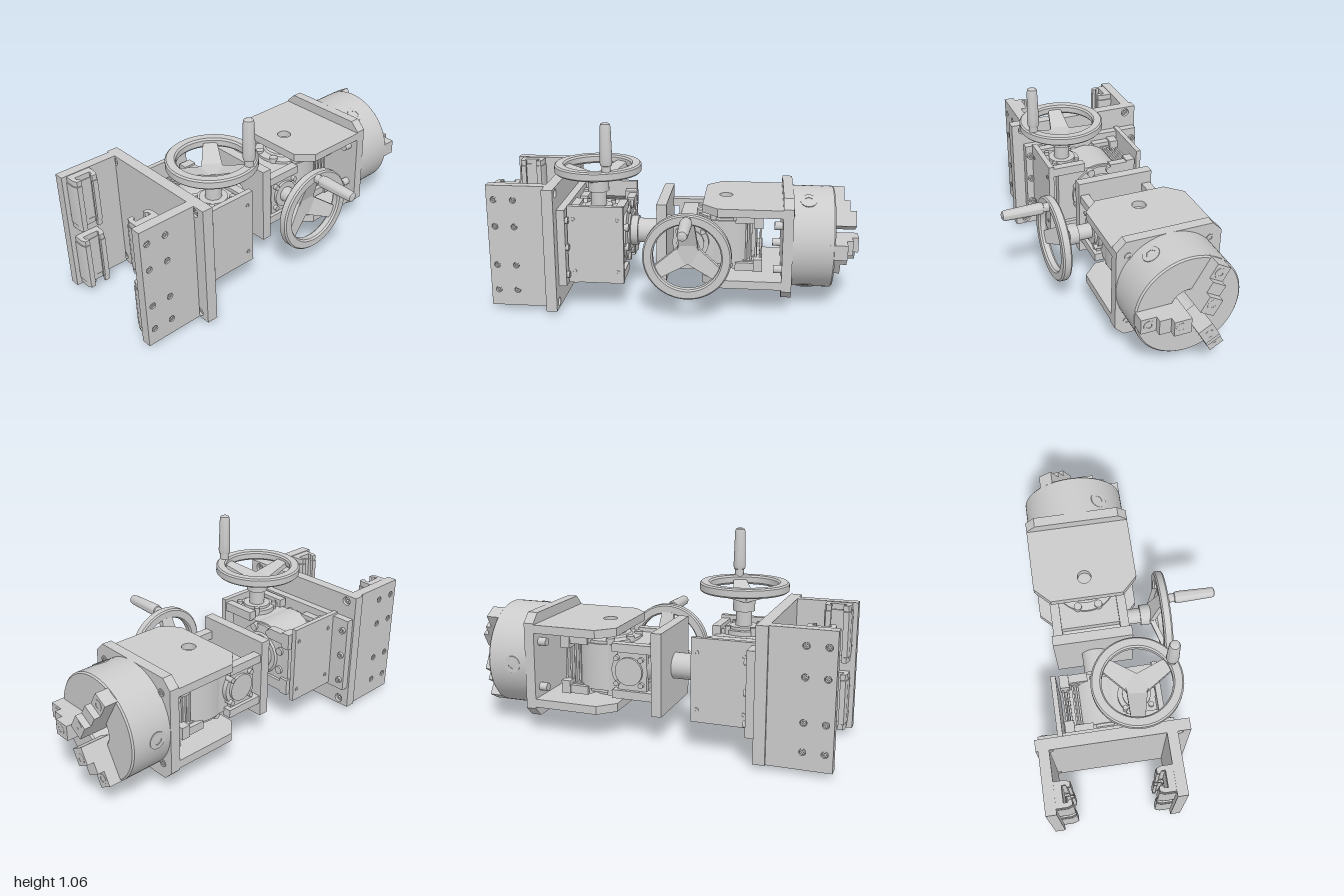
import * as THREE from 'three';
import { toCreasedNormals } from 'three/addons/utils/BufferGeometryUtils.js';

const mat = new THREE.MeshStandardMaterial({ color: 0xcccccc });

function add(parent, name, geo, x = 0, y = 0, z = 0) {
  const m = new THREE.Mesh(geo, mat);
  m.name = name;
  m.position.set(x, y, z);
  parent.add(m);
  return m;
}
// box given by its limits
function box(parent, name, x0, x1, y0, y1, z0, z1) {
  return add(parent, name, new THREE.BoxGeometry(x1 - x0, y1 - y0, z1 - z0),
    (x0 + x1) / 2, (y0 + y1) / 2, (z0 + z1) / 2);
}
// turns a geometry built along y (or a plate facing z) to another axis
const yTo = (g, axis) => axis === 'x' ? g.rotateZ(-Math.PI / 2) : axis === 'z' ? g.rotateX(Math.PI / 2) : g;
const cyl = (r, h, axis = 'y', r2 = r) => yTo(new THREE.CylinderGeometry(r2, r, h, 40), axis);
const lathe = (pts, axis = 'y') => yTo(toCreasedNormals(
  new THREE.LatheGeometry(pts.map(p => new THREE.Vector2(...p)), 64), 0.5), axis);
const poly = pts => new THREE.Shape(pts.map(p => new THREE.Vector2(...p)));
function extrude(shape, depth) {
  const g = new THREE.ExtrudeGeometry(shape, { depth, bevelEnabled: false, curveSegments: 16 });
  return toCreasedNormals(g.translate(0, 0, -depth / 2), 0.5);
}
// flat plate facing z with cut corners c and round holes [x, y, r]
function plate(w, h, t, c = 0, holes = []) {
  const a = w / 2, b = h / 2;
  const s = poly(c ? [[-a + c, -b], [a - c, -b], [a, -b + c], [a, b - c], [a - c, b], [-a + c, b], [-a, b - c], [-a, -b + c]]
    : [[-a, -b], [a, -b], [a, b], [-a, b]]);
  for (const [x, y, r] of holes) s.holes.push(new THREE.Path().absarc(x, y, r, 0, Math.PI * 2, true));
  return extrude(s, t);
}
// socket head screw, facing z
function screw(r, t) {
  const s = new THREE.Shape().absarc(0, 0, r, 0, Math.PI * 2);
  const hex = Array.from({ length: 6 }, (_, i) => new THREE.Vector2(
    Math.cos(-i * Math.PI / 3) * r * 0.55, Math.sin(-i * Math.PI / 3) * r * 0.55));
  s.holes.push(new THREE.Path(hex));
  return extrude(s, t);
}

// dished three-spoke wheel on the z axis with a revolving grip towards +y
function handwheel() {
  const g = new THREE.Group();
  g.name = 'handwheel';
  add(g, 'rim', lathe([[0.18, 0.4], [0.188, 0.39], [0.227, 0.39], [0.235, 0.398], [0.235, 0.432],
    [0.227, 0.44], [0.188, 0.44], [0.18, 0.43], [0.18, 0.4]], 'z'));
  add(g, 'hub', lathe([[0, 0.285], [0.058, 0.285], [0.058, 0.345], [0.065, 0.355], [0.06, 0.37], [0, 0.37]], 'z'));
  for (let i = 0; i < 3; i++) {
    const geo = extrude(poly([[-0.055, 0.02], [0.055, 0.02], [0.035, 0.19], [-0.035, 0.19]]), 0.03);
    const p = geo.attributes.position;
    for (let k = 0; k < p.count; k++) p.setZ(k, p.getZ(k) + 0.34 + p.getY(k) * 0.34);
    geo.computeVertexNormals();
    add(g, 'spoke', geo).rotation.z = i * Math.PI * 2 / 3;
  }
  add(g, 'grip', lathe([[0, 0.43], [0.024, 0.43], [0.024, 0.47], [0.03, 0.473], [0.033, 0.49], [0.032, 0.53],
    [0.028, 0.675], [0.024, 0.69], [0.014, 0.695], [0, 0.695]], 'z'), 0, 0.206, 0);
  return g;
}

// worm gearbox: output axis along y, worm along z at x = -0.185
function wormGearbox(wheelAngle) {
  const g = new THREE.Group();
  g.name = 'wormGearbox';
  add(g, 'gearDrum', cyl(0.175, 0.25));
  add(g, 'outputHub', cyl(0.085, 0.38));
  box(g, 'housing', -0.25, 0, -0.125, 0.125, -0.165, 0.165);
  add(g, 'wormTube', cyl(0.1, 0.38, 'z'), -0.185, 0, 0);
  add(g, 'wormEndCap', cyl(0.075, 0.41, 'z'), -0.185, 0, 0);
  add(g, 'inputShaft', cyl(0.043, 0.3, 'z'), -0.185, 0, 0.17);
  for (const s of [-1, 1]) {
    add(g, 'sideCover', lathe([[0, 0], [0.165, 0], [0.165, 0.02], [0.12, 0.025], [0.11, 0.035], [0, 0.035]]),
      0, s * 0.12, 0).rotation.x = s < 0 ? Math.PI : 0;
    for (let i = 0; i < 8; i++) {
      const a = (i + 0.5) * Math.PI / 4;
      add(g, 'coverBolt', cyl(0.022, 0.04), Math.cos(a) * 0.15, s * 0.135, Math.sin(a) * 0.15);
    }
    for (const t of [-1, 1]) {
      // mounting feet at both ends of the housing
      add(g, 'foot', new THREE.BoxGeometry(0.15, 0.045, 0.06), 0.135, s * 0.137, t * 0.145);
      add(g, 'footPad', new THREE.BoxGeometry(0.05, 0.07, 0.09), 0.185, s * 0.125, t * 0.14);
      add(g, 'wormFoot', new THREE.BoxGeometry(0.22, 0.045, 0.05), -0.205, s * 0.125, t * 0.185);
      add(g, 'flangeBolt', cyl(0.014, 0.42, 'z'), -0.185 + t * 0.068, s * 0.068, 0);
    }
    add(g, 'footWeb', new THREE.BoxGeometry(0.16, 0.25, 0.03), -0.2, 0, s * 0.175);
    add(g, 'footBar', new THREE.BoxGeometry(0.1, 0.035, 0.3), 0.15, s * 0.125, 0);
  }
  for (let i = 0; i < 4; i++) add(g, 'rib', new THREE.BoxGeometry(0.01, 0.23, 0.28), 0.12 + i * 0.026, 0, 0);
  box(g, 'ribCore', 0, 0.18, -0.1, 0.1, -0.11, 0.11);
  const w = handwheel();
  w.position.x = -0.185;
  w.rotation.z = wheelAngle;
  g.add(w);
  return g;
}

// three-jaw chuck, face at y = 0 and axis along y
function chuck() {
  const g = new THREE.Group();
  g.name = 'chuck';
  add(g, 'body', lathe([[0, -0.23], [0.283, -0.23], [0.283, -0.008], [0.275, 0], [0.1, 0], [0.09, -0.01], [0.09, -0.2], [0, -0.2]]));
  for (let i = 0; i < 3; i++) {
    const j = new THREE.Group();
    j.name = 'jaw';
    j.rotation.y = i * Math.PI * 2 / 3;
    add(j, 'steppedJaw', extrude(poly([[0.05, -0.03], [0.28, -0.03], [0.28, 0.065], [0.2, 0.065], [0.2, 0.1],
      [0.14, 0.1], [0.14, 0.135], [0.05, 0.135]]), 0.082).rotateY(-Math.PI / 2));
    for (const [r, h] of [[0.238, 0.064], [0.105, 0.133]])
      add(j, 'jawScrew', screw(0.028, 0.006).rotateX(-Math.PI / 2), 0, h, r);
    add(j, 'keySocket', screw(0.045, 0.02), 0, -0.145, -0.275);
    g.add(j);
  }
  return g;
}

export function createModel() {
  const root = new THREE.Group();
  const Y = 0.368, Z = -0.165;

  // carriage: cross plate and two side plates carrying the slide blocks
  const carriage = new THREE.Group();
  carriage.name = 'carriage';
  root.add(carriage);
  const corners = [-1, 1].flatMap(a => [-1, 1].map(b => [a * 0.33, b * 0.308, 0.024]));
  add(carriage, 'crossPlate', plate(0.786, 0.685, 0.06, 0, corners).rotateY(Math.PI / 2), -0.65, Y, -0.137);
  for (const [x, y] of corners)
    add(carriage, 'crossScrew', screw(0.018, 0.04).rotateY(Math.PI / 2), -0.65, Y + y, -0.137 - x);
  const rows = [0.63, 0.48, 0.26, 0.115], cols = [-0.96, -0.855];
  for (const s of [-1, 1]) {
    const z = Z + s * 0.325, holes = [];
    for (const y of rows) for (const x of cols) {
      holes.push([x + 0.84, y - Y, 0.017]);
      add(carriage, 'sideScrew', screw(0.014, 0.045), x, y, z);
    }
    add(carriage, 'sidePlate', plate(0.32, 0.685, 0.055, 0, holes), -0.84, Y, z);
    // slide block with undercut channel opening inwards
    const profile = [[-0.07, 0], [0.07, 0], [0.07, 0.06], [0.06, 0.085], [0.032, 0.085], [0.032, 0.068], [0.045, 0.06],
      [0.045, 0.04], [-0.045, 0.04], [-0.045, 0.06], [-0.032, 0.068], [-0.032, 0.085], [-0.06, 0.085], [-0.07, 0.06]];
    for (const y of [0.188, 0.555]) {
      const block = new THREE.Group();
      block.name = 'slideBlock';
      block.position.set(-0.905, y, Z + s * 0.298);
      block.rotation.x = s * Math.PI / 2;
      carriage.add(block);
      const geo = extrude(poly(profile.map(([a, b]) => [a, -b])).clone(), 0.24);
      // channel faces the centre of the carriage
      geo.rotateX(-Math.PI / 2).rotateX(Math.PI / 2);
      block.rotation.x = Math.PI / 2;
      if (s < 0) geo.rotateZ(Math.PI);
      add(block, 'blockBody', geo);
      for (const e of [-1, 1]) add(block, 'endCap', geo.clone().scale(0.95, 0.97, 0.125), 0, 0, e * 0.137);
    }
    add(carriage, 'greaseNipple', lathe([[0, 0], [0.008, 0.003], [0.012, 0.012], [0.007, 0.018], [0.01, 0.045], [0, 0.045]]),
      -0.905, 0, Z + s * 0.283);
  }

  // first gearbox with its cage: vertical worm, output towards +x
  box(root, 'gearboxBase', -0.62, -0.577, 0.15, 0.583, -0.52, 0.19);
  for (const y of [0.52, 0.367, 0.21]) for (const z of [-0.492, 0.165])
    add(root, 'baseScrew', screw(0.018, 0.02).rotateY(Math.PI / 2), -0.572, y, z);
  add(root, 'frontCagePlate', plate(0.305, 0.435, 0.03), -0.42, 0.378, 0.135);
  add(root, 'rearCagePlate', plate(0.345, 0.435, 0.027), -0.442, 0.378, -0.404);
  for (const x of [-0.54, -0.3]) for (const y of [0.225, 0.52]) {
    add(root, 'cageScrew', screw(0.012, 0.006), x, y, 0.15);
    add(root, 'cageScrew', screw(0.012, 0.006), x, y, -0.418);
  }
  const first = wormGearbox(Math.PI / 2 + 0.4);
  first.quaternion.setFromRotationMatrix(new THREE.Matrix4().makeBasis(
    new THREE.Vector3(0, 0, -1), new THREE.Vector3(-1, 0, 0), new THREE.Vector3(0, 1, 0)));
  first.position.set(-0.42, Y, Z);
  root.add(first);
  add(root, 'connectingShaft', cyl(0.07, 0.2, 'x'), -0.18, Y, Z);
  add(root, 'shaftCollar', cyl(0.085, 0.05, 'x'), -0.25, Y, Z);

  // second gearbox on its end plate: worm towards the front, vertical output
  box(root, 'endPlate', -0.1, -0.045, 0.147, 0.588, -0.383, 0.052);
  const second = wormGearbox(0);
  second.position.set(0.27, Y, Z);
  root.add(second);

  // swivelling fork: two chamfered cheeks and the chuck flange
  for (const y of [0.572, 0.167]) {
    const s = poly([[0.15, -0.2], [0.235, -0.285], [0.59, -0.285], [0.59, 0.285], [0.235, 0.285], [0.15, 0.2]]);
    s.holes.push(new THREE.Path().absarc(0.27, 0, 0.038, 0, Math.PI * 2, true));
    add(root, 'forkCheek', extrude(s, 0.045).rotateX(Math.PI / 2), 0, y, Z);
  }
  add(root, 'chuckFlange', plate(0.57, 0.565, 0.055, 0.05).rotateY(Math.PI / 2), 0.612, Y, Z);
  for (const y of [-0.2, 0.2]) for (const z of [-0.222, 0.222]) {
    add(root, 'flangeScrew', screw(0.02, 0.006).rotateY(Math.PI / 2), 0.641, Y + y, Z + z);
    if (Math.abs(y) > 0) add(root, 'flangeScrewHead', cyl(0.022, 0.05, 'x'), 0.565, Y + y * 0.62, Z + z);
  }
  const c = chuck();
  c.position.set(0.865, Y, Z);
  c.rotation.z = -Math.PI / 2;
  root.add(c);
  return root;
}
